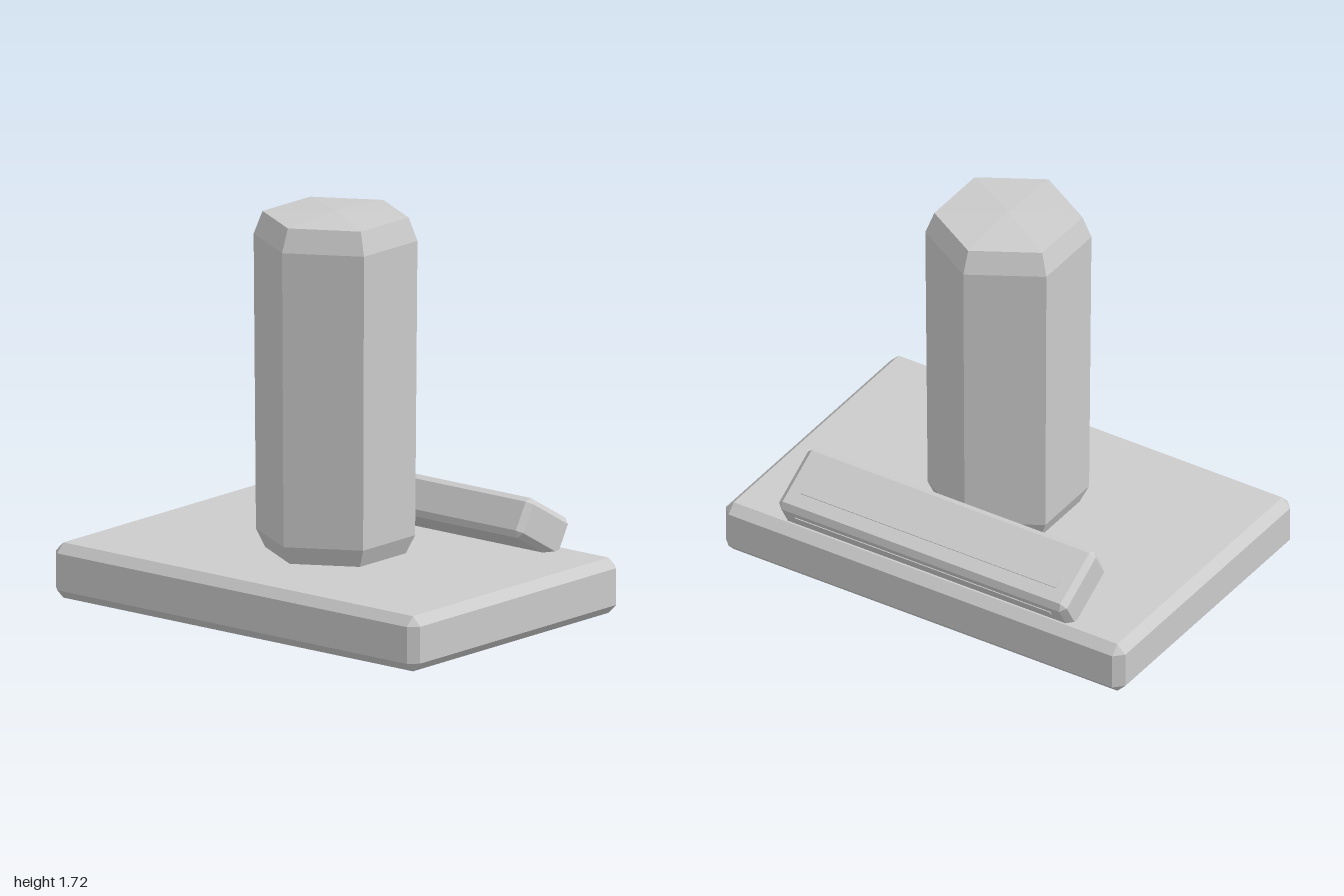
import * as THREE from 'three';
import { ConvexGeometry } from 'three/addons/geometries/ConvexGeometry.js';

const material = new THREE.MeshStandardMaterial({ color: 0xcccccc, flatShading: true });

function part(name, geometry, x, y, z) {
  const mesh = new THREE.Mesh(geometry, material);
  mesh.name = name;
  mesh.position.set(x, y, z);
  return mesh;
}

// Box with every edge and corner cut by c
function chamferBox(w, h, d, c) {
  const points = [];
  for (const sx of [-1, 1]) for (const sy of [-1, 1]) for (const sz of [-1, 1]) {
    const x = w / 2, y = h / 2, z = d / 2;
    points.push(
      new THREE.Vector3(sx * x, sy * (y - c), sz * (z - c)),
      new THREE.Vector3(sx * (x - c), sy * y, sz * (z - c)),
      new THREE.Vector3(sx * (x - c), sy * (y - c), sz * z)
    );
  }
  return new ConvexGeometry(points);
}

export function createModel() {
  const model = new THREE.Group();
  model.name = 'model';

  // Base slab
  model.add(part('base', chamferBox(2, 0.24, 1.36, 0.04), 0, 0.12, 0.005));

  // Six-sided post with bevelled ends and a shallow pointed cap
  const profile = [[0, 0.24], [0.3, 0.24], [0.34, 0.32], [0.35, 1.6], [0.312, 1.7], [0, 1.72]]
    .map(([r, y]) => new THREE.Vector2(r, y));
  const post = new THREE.LatheGeometry(profile, 6).toNonIndexed();
  post.computeVertexNormals();
  model.add(part('post', post, 0, 0, 0.008));

  // Tilted bar resting on the rear edge, with thin raised strips
  const bar = new THREE.Group();
  bar.name = 'tiltedBar';
  bar.position.set(0, 0.35, -0.51);
  bar.rotation.x = -Math.PI / 6;
  bar.add(part('barBody', chamferBox(1.44, 0.18, 0.31, 0.025), 0, 0, 0));
  bar.add(part('topStrip', new THREE.BoxGeometry(1.28, 0.02, 0.035), 0, 0.085, -0.052));
  bar.add(part('rearStrip', new THREE.BoxGeometry(1.28, 0.02, 0.02), 0, 0.02, -0.149));
  model.add(bar);

  return model;
}
